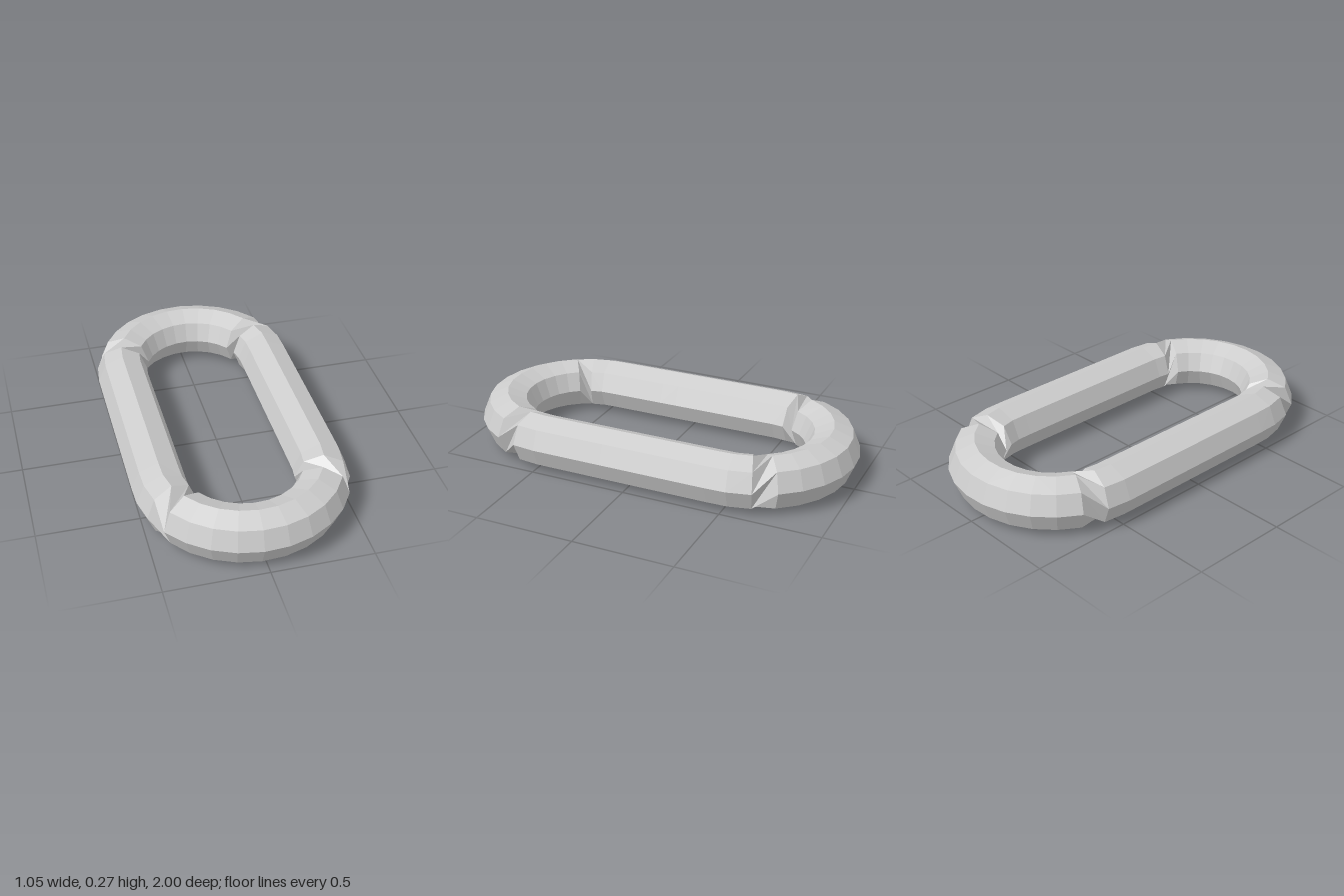
import * as THREE from 'three';

const BEND = 0.39;      // centreline radius of the round ends
const HALF = 0.477;     // half length of the straight bars
const ROD = 0.133;      // rod radius
const STEPS = 48, SIDES = 8;

// Point and direction on the stadium-shaped centreline, u from 0 to 1
function centreline(u) {
  const arc = Math.PI * BEND, half = arc + 2 * HALF;
  const s = u * 2 * half;
  const sign = s < half ? 1 : -1;          // second half is the first turned by 180 degrees
  const d = s < half ? s : s - half;
  const point = new THREE.Vector3(), dir = new THREE.Vector3();
  if (d < arc) {
    const a = d / BEND;
    point.set(BEND * Math.cos(a), 0, HALF + BEND * Math.sin(a));
    dir.set(-Math.sin(a), 0, Math.cos(a));
  } else {
    point.set(-BEND, 0, HALF - (d - arc));
    dir.set(0, 0, -1);
  }
  const turn = new THREE.Vector3(sign, 1, sign);
  return { point: point.multiply(turn), dir: dir.multiply(turn) };
}

// Octagonal ring; its frame turns by 90 degrees between bars and bends
function ring(u) {
  const { point, dir } = centreline(u);
  const up = Math.abs(dir.z) > 0.9 ? new THREE.Vector3(0, 1, 0) : new THREE.Vector3(0, 0, 1);
  const n = up.cross(dir).normalize();
  const b = dir.clone().cross(n);
  return Array.from({ length: SIDES }, (_, j) => {
    const a = (j / SIDES) * Math.PI * 2;
    return point.clone()
      .addScaledVector(n, ROD * Math.cos(a))
      .addScaledVector(b, ROD * Math.sin(a))
      .add(new THREE.Vector3(0, ROD, 0));
  });
}

function linkGeometry() {
  const rings = Array.from({ length: STEPS }, (_, i) => ring(i / STEPS));
  const pts = [];
  for (let i = 0; i < STEPS; i++) {
    const r0 = rings[i], r1 = rings[(i + 1) % STEPS];
    for (let j = 0; j < SIDES; j++) {
      const k = (j + 1) % SIDES;
      const A = r0[j], D = r0[k], B = r1[j], C = r1[k];
      // split each quad along its shorter diagonal
      if (A.distanceTo(C) < D.distanceTo(B)) pts.push(A, D, C, A, C, B);
      else pts.push(A, D, B, D, C, B);
    }
  }
  const geometry = new THREE.BufferGeometry().setFromPoints(pts);
  geometry.computeVertexNormals();
  return geometry;
}

export function createModel() {
  const group = new THREE.Group();
  group.name = 'chainLink';
  const steel = new THREE.MeshStandardMaterial({ color: 0xcccccc, flatShading: true });
  steel.name = 'light steel grey';
  const link = new THREE.Mesh(linkGeometry(), steel);
  link.name = 'linkRod';
  group.add(link);
  return group;
}
